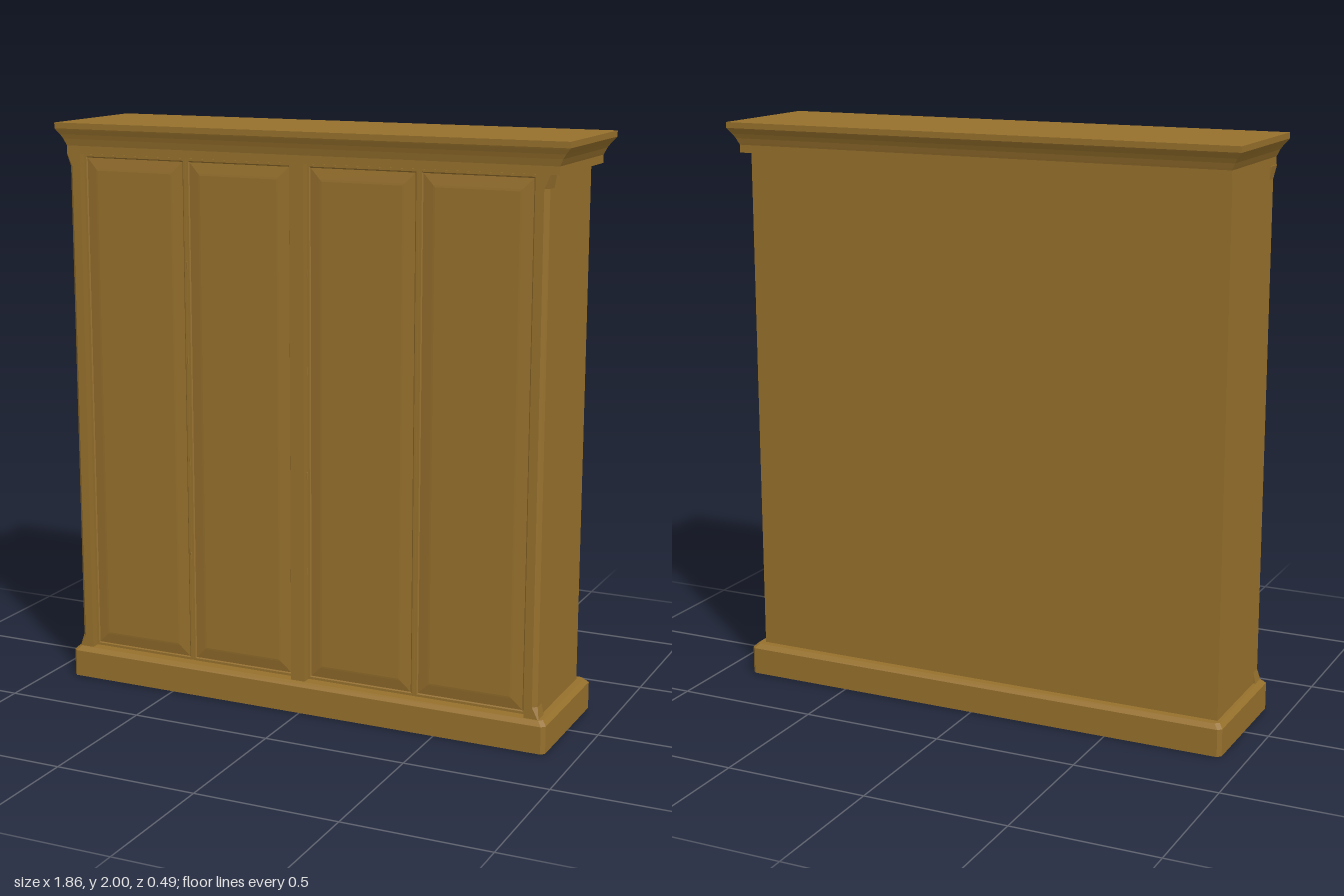
import * as THREE from 'three';

const wood = new THREE.MeshStandardMaterial({ color: 0x96702c, roughness: 0.8 });

// Rectangle in plan, counter-clockwise from above, with optional corner chamfers
// c = [front +x, back +x, back -x, front -x]
function plan(y, x0, x1, z0, z1, c = [0, 0, 0, 0]) {
  const corners = [[x1, z1, -1, 0, 0, -1], [x1, z0, 0, 1, -1, 0], [x0, z0, 1, 0, 0, 1], [x0, z1, 0, -1, 1, 0]];
  const pts = [];
  corners.forEach(([x, z, ax, az, bx, bz], i) => {
    const d = c[i];
    if (!d) pts.push([x, y, z]);
    else pts.push([x + ax * d, y, z + az * d], [x + bx * d, y, z + bz * d]);
  });
  return pts;
}

// Closed faceted solid through a stack of plans
function loft(name, rings) {
  const pos = [];
  const tri = (a, b, c) => pos.push(...a, ...b, ...c);
  const n = rings[0].length;
  for (let r = 0; r < rings.length - 1; r++) {
    const a = rings[r], b = rings[r + 1];
    for (let i = 0; i < n; i++) {
      const j = (i + 1) % n;
      tri(a[i], a[j], b[j]);
      tri(a[i], b[j], b[i]);
    }
  }
  const bottom = rings[0], top = rings[rings.length - 1];
  for (let i = 1; i < n - 1; i++) {
    tri(bottom[0], bottom[i + 1], bottom[i]);
    tri(top[0], top[i], top[i + 1]);
  }
  const g = new THREE.BufferGeometry();
  g.setAttribute('position', new THREE.Float32BufferAttribute(pos, 3));
  g.computeVertexNormals();
  const mesh = new THREE.Mesh(g, wood);
  mesh.name = name;
  return mesh;
}

export function createModel() {
  const model = new THREE.Group();
  model.name = 'wardrobe';
  const Y0 = 0.11, Y1 = 1.895;

  // Plinth with chamfered corners and a bevelled top edge
  const k = [0.013, 0.013, 0.013, 0.013];
  model.add(loft('plinth', [
    plan(0, -0.913, 0.892, -0.24, 0.245, k),
    plan(0.095, -0.913, 0.892, -0.24, 0.245, k),
    plan(Y0, -0.898, 0.877, -0.225, 0.23, k),
  ]));

  // Carcass behind the doors
  model.add(loft('carcass', [
    plan(Y0, -0.886, 0.855, -0.2, 0.19),
    plan(Y1, -0.886, 0.855, -0.2, 0.19),
  ]));

  // Corner posts: chamfered outer edge with flared stops at both ends
  const stops = [[Y0, 0.008, 0.003], [0.15, 0, 0.015], [1.85, 0, 0.015], [Y1, 0.008, 0.003]];
  model.add(loft('rightPost', stops.map(([y, f, c]) =>
    plan(y, -0.886 - f, -0.84, 0.17, 0.225, [0, 0, 0, c]))));
  model.add(loft('leftPost', stops.map(([y, f, c]) =>
    plan(y, 0.812, 0.855 + f, 0.17, 0.225, [c, 0, 0, 0]))));
  model.add(loft('centrePost', [
    plan(Y0, -0.039, 0.012, 0.17, 0.225),
    plan(Y1, -0.039, 0.012, 0.17, 0.225),
  ]));

  // Four doors with softly raised panels, lofted upward then turned to face front
  [[-0.838, -0.441], [-0.438, -0.041], [0.014, 0.41], [0.413, 0.81]].forEach(([x0, x1], i) => {
    const ring = (z, d) => plan(z, x0 + d, x1 - d, -Y1 + 0.003 + d, -Y0 - 0.003 - d);
    const door = loft(`door${i + 1}`, [
      ring(0.185, 0), ring(0.2, 0), ring(0.2, 0.008), ring(0.197, 0.012), ring(0.204, 0.048), ring(0.205, 0.055),
    ]);
    door.geometry.rotateX(Math.PI / 2);
    model.add(door);
  });

  // Small hinge barrels along the door edges
  const hinge = new THREE.CylinderGeometry(0.003, 0.003, 0.025, 8);
  for (const x of [-0.4395, 0.013, 0.811]) {
    for (const y of [0.5, 0.84, 1.2, 1.53]) {
      const m = new THREE.Mesh(hinge, wood);
      m.name = 'hinge';
      m.position.set(x, y, 0.201);
      model.add(m);
    }
  }

  // Cornice: plain lower band, cove flaring outward, square top edge
  const cornice = [[Y1, 0], [1.922, 0], [1.928, 0.003], [1.945, 0.011], [1.96, 0.021], [1.975, 0.034], [1.98, 0.038], [2, 0.038]];
  model.add(loft('cornice', cornice.map(([y, d]) => {
    const t = d / 0.038;
    return plan(y, -0.89 - d, 0.89 + d, -0.217 - 0.025 * t, 0.226 + 0.017 * t);
  })));

  return model;
}
